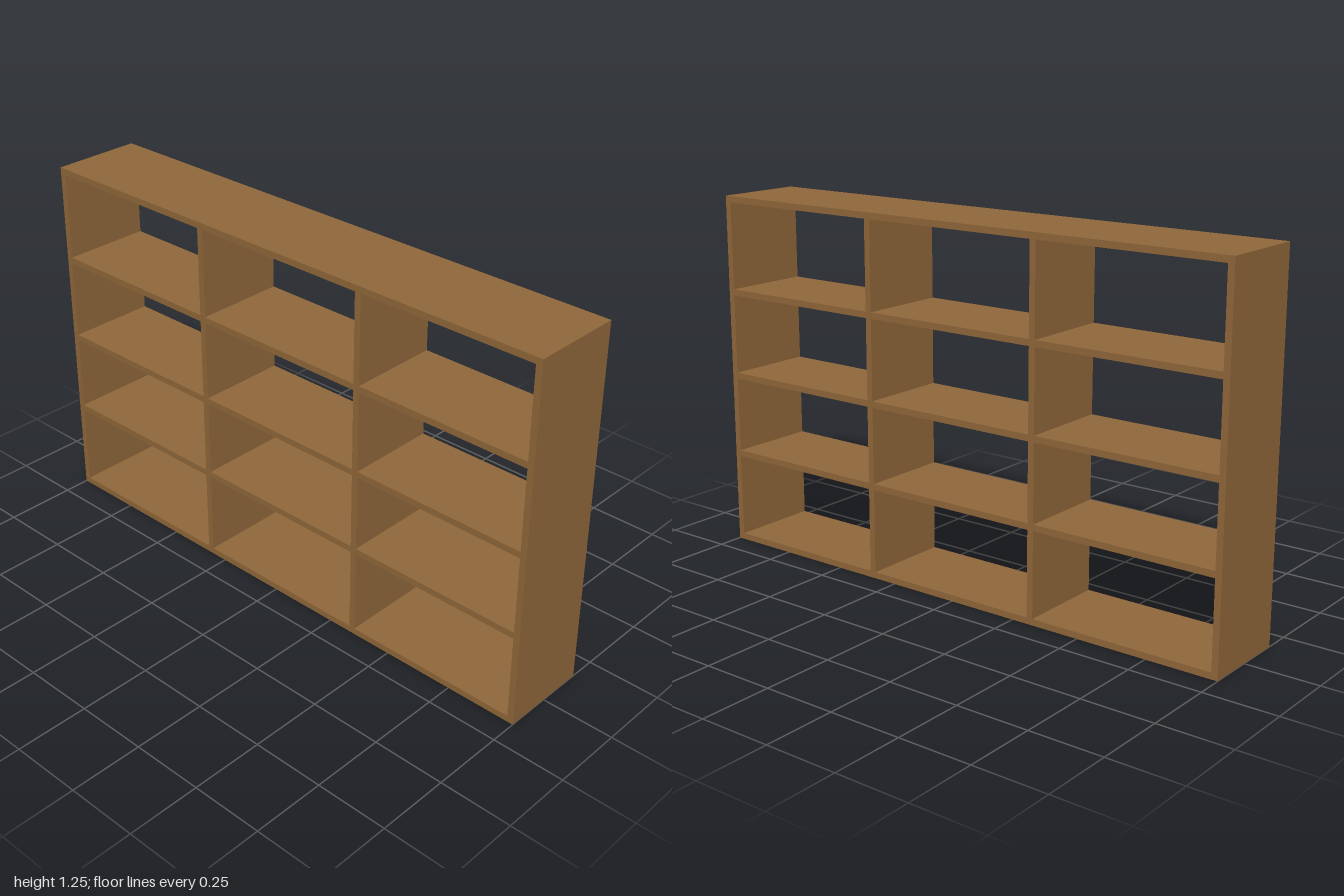
import * as THREE from 'three';

export function createModel() {
  const group = new THREE.Group();
  group.name = 'shelvingUnit';
  const wood = new THREE.MeshStandardMaterial({ color: 0x91683a });
  wood.name = 'brown wood';

  const depth = 0.316, height = 1.254, t = 0.022;

  // A board spanning the full depth, given by its y and z limits
  const board = (name, y0, y1, z0, z1) => {
    const mesh = new THREE.Mesh(new THREE.BoxGeometry(depth, y1 - y0, z1 - z0), wood);
    mesh.name = name;
    mesh.position.set(0, (y0 + y1) / 2, (z0 + z1) / 2);
    group.add(mesh);
  };

  // Outer frame
  board('frontSide', 0, height, 1 - t, 1);
  board('backSide', 0, height, -1, -1 + t);
  board('bottomBoard', 0, t, -1 + t, 1 - t);
  board('topBoard', height - t, height, -1 + t, 1 - t);

  // Upright dividers between bottom and top
  const dividers = [-0.318, 0.346];
  for (const z of dividers) board('divider', t, height - t, z - t / 2, z + t / 2);

  // Shelves, one per bay and level
  const bays = [
    [-1 + t, dividers[0] - t / 2],
    [dividers[0] + t / 2, dividers[1] - t / 2],
    [dividers[1] + t / 2, 1 - t],
  ];
  for (const y of [0.327, 0.615, 0.916]) {
    for (const [z0, z1] of bays) board('shelf', y - t / 2, y + t / 2, z0, z1);
  }
  return group;
}
